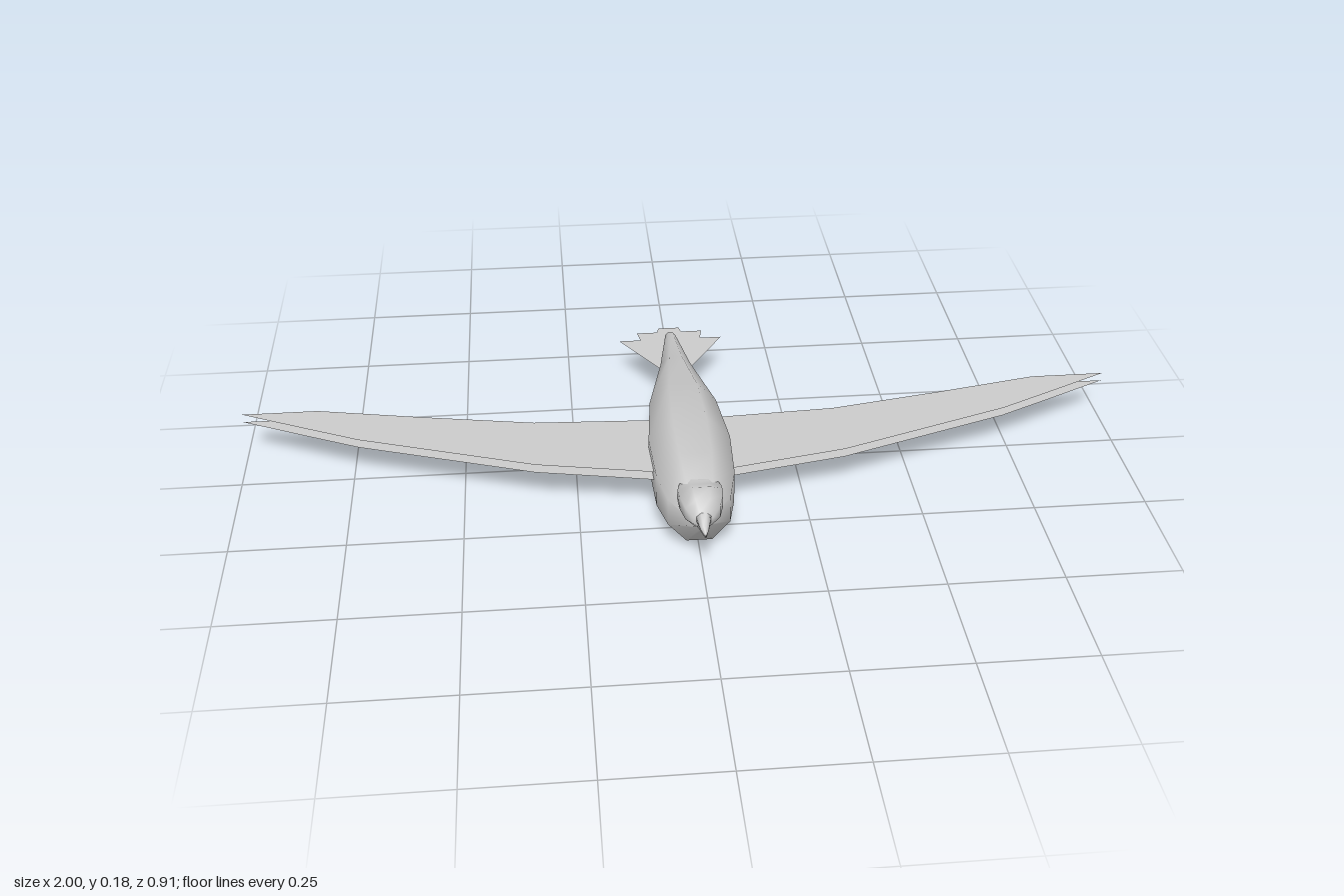
import * as THREE from 'three';

const solid = new THREE.MeshStandardMaterial({ color: 0xcccccc });
const sheet = new THREE.MeshStandardMaterial({ color: 0xcccccc, side: THREE.DoubleSide });
const SIDES = 8;

// Smooth loft of octagonal rings; each section is [z, bottom, top, halfWidth], front to back.
function loft(name, sections) {
  const pos = [], index = [];
  const k = 1 / Math.cos(Math.PI / SIDES);
  for (const [z, y0, y1, w] of sections) {
    for (let j = 0; j < SIDES; j++) {
      const a = ((j + 0.5) / SIDES) * Math.PI * 2;
      pos.push(Math.cos(a) * w * k, (y0 + y1) / 2 + Math.sin(a) * ((y1 - y0) / 2) * k, z);
    }
  }
  for (let i = 0; i < sections.length - 1; i++) {
    for (let j = 0; j < SIDES; j++) {
      const n = (j + 1) % SIDES;
      const a = i * SIDES + j, b = i * SIDES + n;
      index.push(a, a + SIDES, b, b, a + SIDES, b + SIDES);
    }
  }
  // End caps
  const last = (sections.length - 1) * SIDES;
  for (let j = 1; j < SIDES - 1; j++) {
    index.push(0, j, j + 1, last, last + j + 1, last + j);
  }
  const geo = new THREE.BufferGeometry();
  geo.setAttribute('position', new THREE.Float32BufferAttribute(pos, 3));
  geo.setIndex(index);
  geo.computeVertexNormals();
  const mesh = new THREE.Mesh(geo, solid);
  mesh.name = name;
  return mesh;
}

// Flat horizontal sheet from an [x, z] outline.
function flat(name, outline, y) {
  const shape = new THREE.Shape(outline.map(([x, z]) => new THREE.Vector2(x, -z)));
  const geo = new THREE.ShapeGeometry(shape).rotateX(-Math.PI / 2);
  const mesh = new THREE.Mesh(geo, sheet);
  mesh.name = name;
  mesh.position.y = y;
  return mesh;
}

export function createModel() {
  const bird = new THREE.Group();
  bird.name = 'bird';

  // Body, from chest to tail root
  bird.add(loft('body', [
    [0.4, 0.108, 0.125, 0.012],
    [0.325, 0.023, 0.174, 0.066],
    [0.24, 0.004, 0.188, 0.084],
    [0.1, 0.004, 0.188, 0.09],
    [-0.06, 0.014, 0.178, 0.076],
    [-0.25, 0.063, 0.138, 0.036],
    [-0.4, 0.092, 0.12, 0.012],
    [-0.41, 0.098, 0.104, 0.004],
  ]));

  // Head
  bird.add(loft('head', [
    [0.415, 0.119, 0.157, 0.02],
    [0.395, 0.11, 0.177, 0.036],
    [0.365, 0.112, 0.187, 0.045],
    [0.335, 0.125, 0.174, 0.047],
    [0.325, 0.13, 0.176, 0.045],
    [0.3, 0.14, 0.172, 0.035],
  ]));

  // Beak halves
  bird.add(loft('upperBeak', [
    [0.455, 0.126, 0.134, 0.002],
    [0.44, 0.127, 0.142, 0.008],
    [0.405, 0.13, 0.163, 0.018],
  ]));
  bird.add(loft('lowerBeak', [
    [0.452, 0.121, 0.125, 0.002],
    [0.405, 0.12, 0.131, 0.015],
  ]));

  // Wings, each an upper and a lower layer of feathers
  const leading = [[0.05, 0.2], [0.09, 0.195], [0.34, 0.145], [0.73, 0.01], [0.86, -0.052], [1, -0.12]];
  const trailing = [[0.83, -0.12], [0.6, -0.073], [0.34, -0.025], [0.09, -0.012], [0.05, -0.012]];
  for (const side of [1, -1]) {
    const wing = new THREE.Group();
    wing.name = side > 0 ? 'leftWing' : 'rightWing';
    const outline = [...leading, ...trailing].map(([x, z]) => [x * side, z]);
    wing.add(flat('upperFeathers', outline, 0.115));
    wing.add(flat('lowerFeathers', outline, 0.095));
    bird.add(wing);
  }

  // Tail fan with stepped feather ends
  const half = [[0.025, -0.455], [0.03, -0.435], [0.08, -0.435], [0.073, -0.4], [0.125, -0.4], [0.02, -0.235]];
  const mirrored = half.map(([x, z]) => [-x, z]).reverse();
  bird.add(flat('tail', [...half, ...mirrored], 0.1));

  return bird;
}
